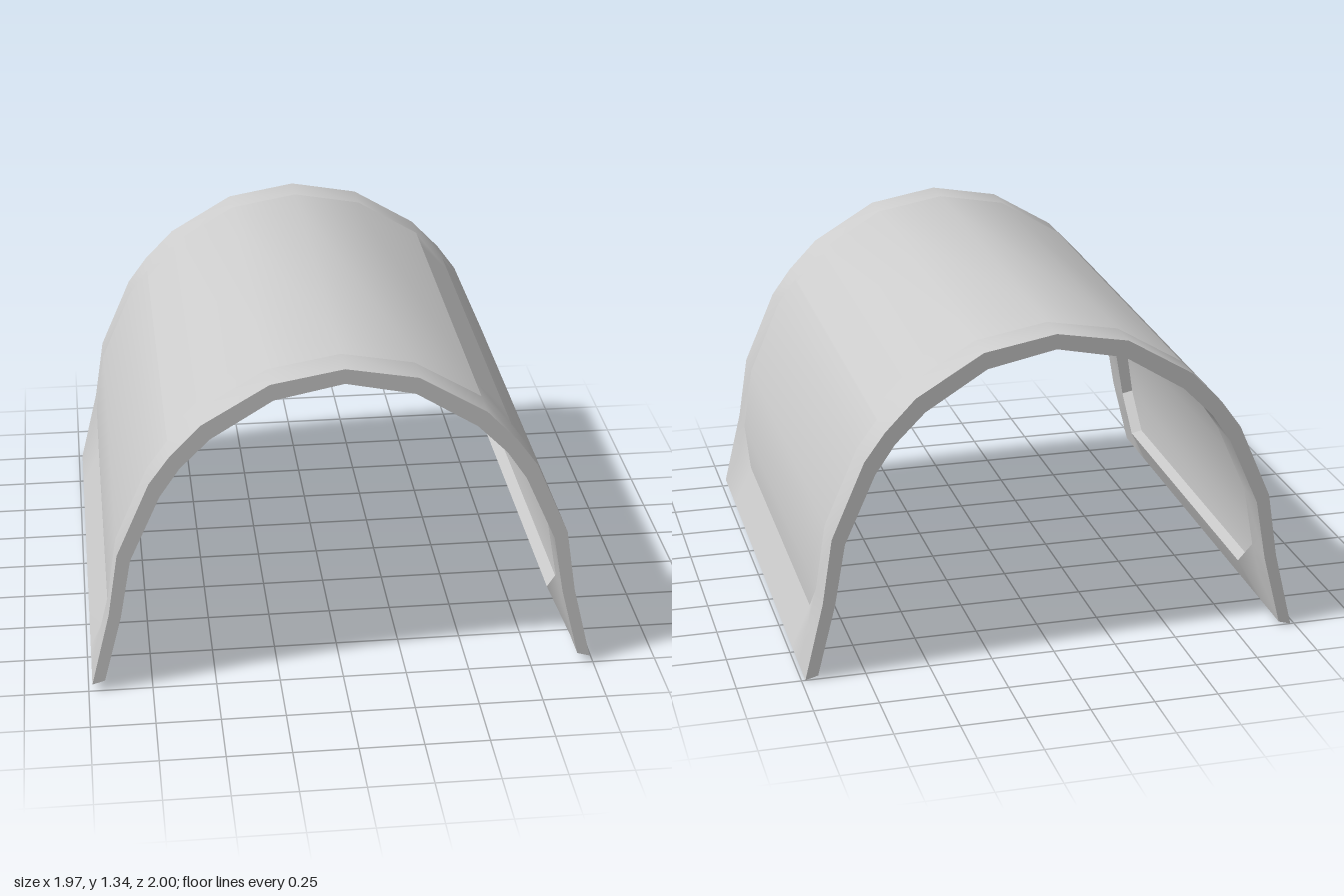
import * as THREE from 'three';

// Half cross-sections, crown to foot, as [x, y]
const OUTER = [[0, 1.325], [0.28, 1.275], [0.54, 1.12], [0.66, 0.995], [0.74, 0.885],
  [0.87, 0.585], [0.91, 0.325], [0.91, 0.185], [0.985, 0.015]];
const INNER = [[0, 1.265], [0.267, 1.21], [0.505, 1.062], [0.622, 0.945], [0.7, 0.83],
  [0.82, 0.56], [0.863, 0.315], [0.863, 0.175], [0.935, 0.03]];
const COLS = [-1, -0.86, -0.71, 0.71, 0.86, 1];
const HALF = 8, NC = COLS.length;
const id = (row, col) => (row + HALF) * NC + col;

// Grid of points along the arch; the lower lip is bent only between the panel corners
function gridPoints(profile) {
  const pts = [];
  for (let row = -HALF; row <= HALF; row++) {
    const k = Math.abs(row);
    COLS.forEach((z, col) => {
      let [x, y] = profile[k];
      if (k === 7 && Math.abs(z) > 0.8) {
        x = THREE.MathUtils.lerp(profile[6][0], profile[8][0], 0.48);
        y = THREE.MathUtils.lerp(profile[6][1], profile[8][1], 0.48);
      }
      pts.push(new THREE.Vector3(Math.sign(row) * x, y + 0.015 * z, COLS[col]));
    });
  }
  return pts;
}

// Sort the grid triangles into frame, roof panel and the two side panels
function sortTriangles() {
  const parts = { frame: [], roof: [], left: [], right: [] };
  for (let r = -HALF; r < HALF; r++) {
    const near = Math.min(Math.abs(r), Math.abs(r + 1));
    const side = r >= 0 ? 'left' : 'right';
    for (let c = 0; c < NC - 1; c++) {
      const a = id(r, c), b = id(r, c + 1), d = id(r + 1, c), e = id(r + 1, c + 1);
      const inside = c > 0 && c < NC - 2;
      let name = 'frame';
      if (inside && near < 2) name = 'roof';
      if (inside && near >= 3 && near <= 6) name = side;
      if (inside && near === 6 && c !== 2) {
        // Chamfered panel corner: the half touching the panel is pane, the rest frame
        const paneCorner = r >= 0 ? (c === 1 ? b : a) : (c === 1 ? e : d);
        const tris = paneCorner === a || paneCorner === e
          ? [[a, b, d], [b, e, d]] : [[a, b, e], [a, e, d]];
        for (const t of tris) {
          const pane = t.includes(paneCorner);
          parts[pane ? side : 'frame'].push(t);
        }
      } else {
        parts[name].push([a, b, e], [a, e, d]);
      }
    }
  }
  return parts;
}

// Smooth surface from some of the grid triangles
function sheet(points, tris, flip = false) {
  const map = new Map(), pos = [], index = [];
  for (const t of tris) {
    for (const i of flip ? [t[0], t[2], t[1]] : t) {
      if (!map.has(i)) {
        map.set(i, map.size);
        pos.push(...points[i].toArray());
      }
      index.push(map.get(i));
    }
  }
  const geo = new THREE.BufferGeometry();
  geo.setAttribute('position', new THREE.Float32BufferAttribute(pos, 3));
  geo.setIndex(index);
  geo.computeVertexNormals();
  return geo;
}

// Flat walls joining both skins along every open edge of the frame
function edgeWalls(outer, inner, tris) {
  const edges = new Set(), pos = [];
  for (const t of tris) t.forEach((a, i) => edges.add(a + '_' + t[(i + 1) % 3]));
  for (const edge of edges) {
    const [a, b] = edge.split('_').map(Number);
    if (edges.has(b + '_' + a)) continue;
    for (const p of [outer[b], outer[a], inner[a], outer[b], inner[a], inner[b]]) pos.push(...p.toArray());
  }
  const geo = new THREE.BufferGeometry();
  geo.setAttribute('position', new THREE.Float32BufferAttribute(pos, 3));
  geo.computeVertexNormals();
  return geo;
}

export function createModel() {
  const group = new THREE.Group();
  group.name = 'archedCanopy';
  const solid = new THREE.MeshStandardMaterial({ color: 0xcccccc });
  const thin = new THREE.MeshStandardMaterial({ color: 0xcccccc, side: THREE.DoubleSide });
  const add = (name, geo, mat) => {
    const mesh = new THREE.Mesh(geo, mat);
    mesh.name = name;
    group.add(mesh);
  };

  const outer = gridPoints(OUTER), inner = gridPoints(INNER);
  const parts = sortTriangles();

  // Frame: two skins with three openings, closed by walls
  add('frameOuterSkin', sheet(outer, parts.frame), solid);
  add('frameInnerSkin', sheet(inner, parts.frame, true), solid);
  add('frameEdges', edgeWalls(outer, inner, parts.frame), solid);

  // Panes, flush with the outside
  add('roofPanel', sheet(outer, parts.roof), thin);
  add('leftPanel', sheet(outer, parts.left), thin);
  add('rightPanel', sheet(outer, parts.right), thin);
  return group;
}
